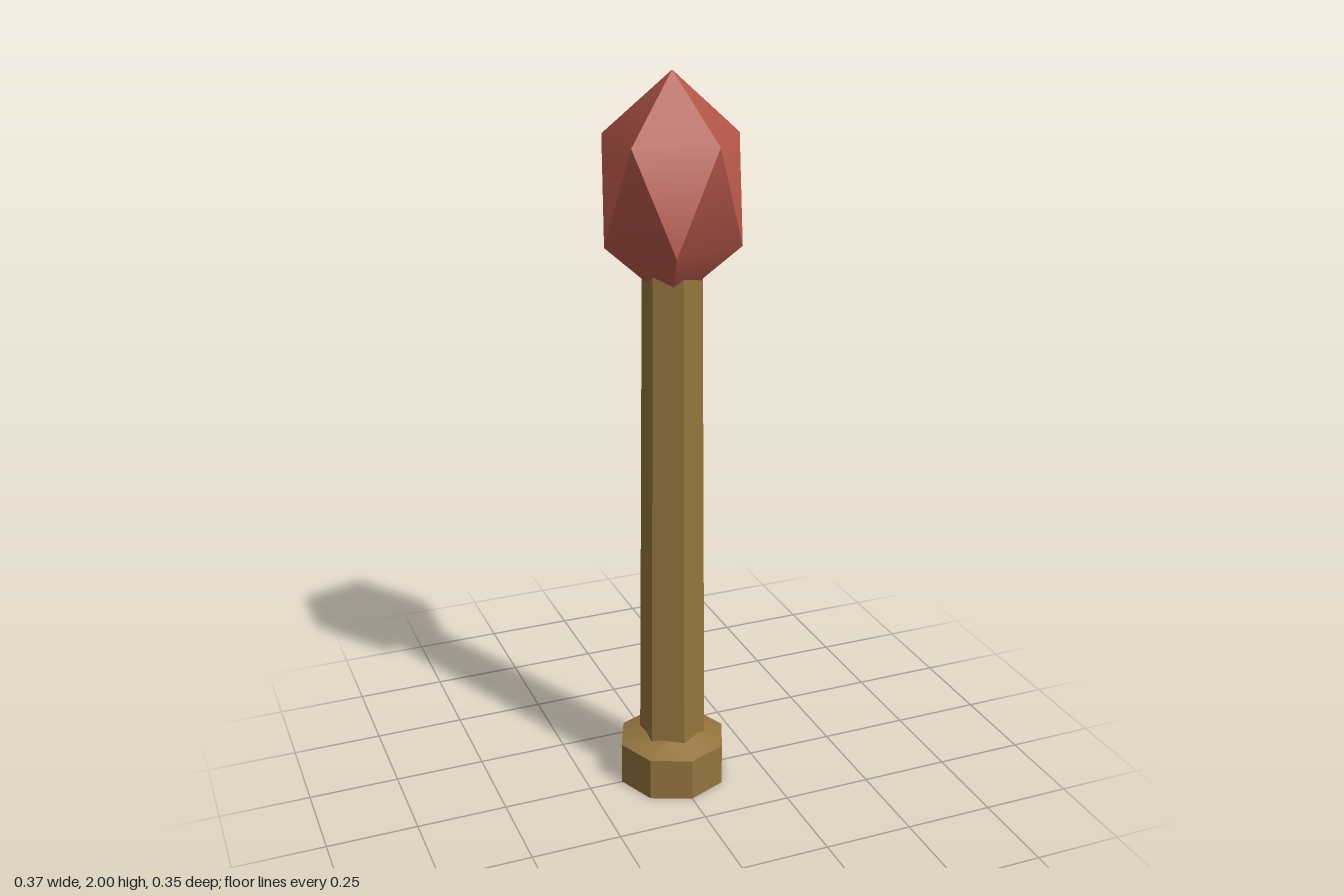
import * as THREE from 'three';
import { toCreasedNormals } from 'three/addons/utils/BufferGeometryUtils.js';

export function createModel() {
  const group = new THREE.Group();
  const wood = new THREE.MeshStandardMaterial({ color: 0x94743e });
  wood.name = 'wood';
  const red = new THREE.MeshStandardMaterial({ color: 0xb5574a });
  red.name = 'red';

  // Edges sharper than the crease angle stay hard
  const add = (name, geometry, material, y) => {
    const mesh = new THREE.Mesh(toCreasedNormals(geometry, 0.64), material);
    mesh.name = name;
    mesh.position.y = y;
    group.add(mesh);
  };

  // Octagonal foot with a sloping shoulder that runs into the shaft
  add('foot', new THREE.CylinderGeometry(0.154, 0.154, 0.122, 8, 1, false), wood, 0.061);
  add('footShoulder', new THREE.CylinderGeometry(0.07, 0.154, 0.032, 8, 1, true), wood, 0.138);

  // Tapered hexagonal shaft, its top buried in the head
  add('shaft', new THREE.CylinderGeometry(0.079, 0.093, 1.38, 6), wood, 0.81);

  // Head: an icosahedron stood on one corner and stretched upward
  const head = new THREE.IcosahedronGeometry(1, 0);
  head.rotateZ(-Math.atan(2 / (1 + Math.sqrt(5))));
  head.scale(0.205, 0.297, 0.205);
  add('head', head, red, 1.703);

  return group;
}
